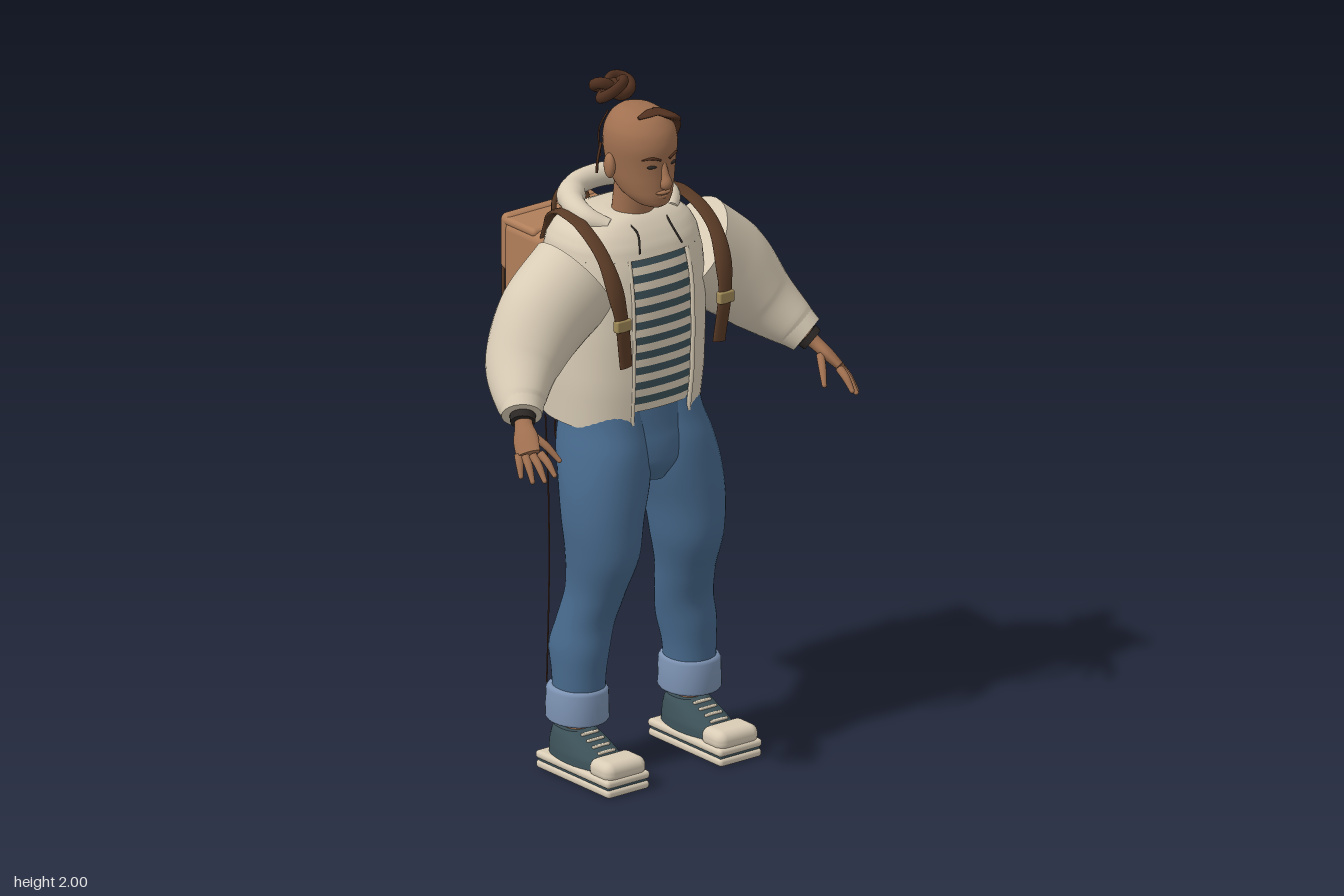
import * as THREE from 'three';
import { RoundedBoxGeometry } from 'three/addons/geometries/RoundedBoxGeometry.js';

const V = (x, y, z) => new THREE.Vector3(x, y, z);
const mat = (name, color, side = THREE.FrontSide) => {
  const m = new THREE.MeshStandardMaterial({ color, side });
  m.name = name;
  return m;
};

// Skin over a list of rings of points, optionally closed round and capped
function loft(rings, closed = true, caps = true) {
  const n = rings[0].length, pos = [], idx = [];
  rings.forEach(r => r.forEach(p => pos.push(p.x, p.y, p.z)));
  for (let i = 0; i < rings.length - 1; i++) {
    for (let j = 0; j < (closed ? n : n - 1); j++) {
      const a = i * n + j, c = i * n + (j + 1) % n;
      idx.push(a, a + n, c, c, a + n, c + n);
    }
  }
  if (caps) [rings[0], rings[rings.length - 1]].forEach((r, end) => {
    const base = pos.length / 3, mid = V(0, 0, 0);
    r.forEach(p => { pos.push(p.x, p.y, p.z); mid.addScaledVector(p, 1 / n); });
    pos.push(mid.x, mid.y, mid.z);
    for (let j = 0; j < n; j++) {
      const k = (j + 1) % n;
      idx.push(base + n, base + (end ? k : j), base + (end ? j : k));
    }
  });
  const g = new THREE.BufferGeometry();
  g.setAttribute('position', new THREE.Float32BufferAttribute(pos, 3));
  g.setIndex(idx);
  g.computeVertexNormals();
  return g;
}

const pw = (v, e) => Math.sign(v) * Math.abs(v) ** e;
// Horizontal ring; the front is at angle PI / 2
const flatRing = (y, cx, cz, rx, rz, e = 1, a0 = 0, a1 = Math.PI * 2, n = 36) => {
  const full = a1 - a0 > 6.28, out = [];
  for (let j = 0; j < (full ? n : n + 1); j++) {
    const a = a0 + (a1 - a0) * j / n;
    out.push(V(cx + rx * pw(Math.cos(a), e), y, cz + rz * pw(Math.sin(a), e)));
  }
  return out;
};
const smooth = pts => new THREE.CatmullRomCurve3(pts);

// Stack of horizontal ellipses, rows of [y, cx, cz, rx, rz]
function stack(rows, e = 1, caps = true, steps = 32) {
  const c = smooth(rows.map(r => V(r[1], r[0], r[2]))), s = smooth(rows.map(r => V(r[3], 0, r[4])));
  const rings = [];
  for (let i = 0; i <= steps; i++) {
    const p = c.getPoint(i / steps), r = s.getPoint(i / steps);
    rings.push(flatRing(p.y, p.x, p.z, r.x, r.z, e));
  }
  return loft(rings, true, caps);
}

// Ellipse swept along a path, rows of [x, y, z, r across, r along w]
function sweep(rows, w = V(0, 0, 1), n = 20, steps = 24) {
  const c = smooth(rows.map(r => V(r[0], r[1], r[2]))), s = smooth(rows.map(r => V(r[3], r[4] ?? r[3], 0)));
  const rings = [];
  for (let i = 0; i <= steps; i++) {
    const t = i / steps, p = c.getPoint(t), r = s.getPoint(t), T = c.getTangent(t);
    const U = T.clone().cross(w).normalize(), W = U.clone().cross(T);
    rings.push(Array.from({ length: n }, (_, j) => {
      const a = j / n * Math.PI * 2;
      return p.clone().addScaledVector(U, r.x * Math.cos(a)).addScaledVector(W, r.y * Math.sin(a));
    }));
  }
  return loft(rings);
}
const wire = (pts, r, closed = false) =>
  new THREE.TubeGeometry(new THREE.CatmullRomCurve3(pts.map(p => V(...p)), closed), 32, r, 6, closed);

// Jacket outline by height: [y, half width, back z, front z]
const TORSO = [[1.03, .215, -.19, .19], [1.15, .225, -.192, .203], [1.3, .228, -.19, .208], [1.42, .228, -.187, .203],
  [1.5, .226, -.182, .19], [1.56, .216, -.165, .17], [1.595, .198, -.145, .15], [1.62, .165, -.115, .13], [1.635, .12, -.08, .115], [1.64, .07, -.02, .1]];
function torsoRing(y, inset = 0, a0, a1) {
  let i = 0;
  while (i < TORSO.length - 2 && y > TORSO[i + 1][0]) i++;
  const A = TORSO[i], B = TORSO[i + 1], t = (y - A[0]) / (B[0] - A[0]);
  const [rx, zb, zf] = [1, 2, 3].map(k => A[k] + (B[k] - A[k]) * t);
  return flatRing(y, 0, (zb + zf) / 2, rx - inset, (zf - zb) / 2 - inset, .8, a0, a1, 48);
}
const range = (a, b, n) => Array.from({ length: n + 1 }, (_, i) => a + (b - a) * i / n);

export function createModel() {
  const root = new THREE.Group(), left = new THREE.Group();
  left.name = 'leftSide';
  const skin = mat('skin', 0xa07050), cream = mat('cream cloth', 0xd9ccb6, THREE.DoubleSide);
  const denim = mat('denim', 0x47698c), cuffBlue = mat('pale denim', 0x7d93b3, THREE.DoubleSide);
  const teal = mat('dark teal', 0x3c5158, THREE.DoubleSide), leather = mat('dark leather', 0x5a3b26);
  const tan = mat('tan leather', 0xb07e5a), brass = mat('brass', 0xa08a58);
  const hair = mat('hair', 0x50301f), black = mat('charcoal', 0x2c2826);
  const add = (parent, name, geo, m, x = 0, y = 0, z = 0) => {
    const o = new THREE.Mesh(geo, m);
    o.name = name;
    o.position.set(x, y, z);
    parent.add(o);
    return o;
  };
  const ball = (parent, name, m, p, s) => {
    const o = add(parent, name, new THREE.SphereGeometry(1, 20, 14), m, ...p);
    o.scale.set(...s);
    return o;
  };
  const box = (parent, name, m, p, s, r = .01) => add(parent, name, new RoundedBoxGeometry(...s, 3, r), m, ...p);

  // Head and neck
  add(root, 'head', stack([[1.672, 0, .15, .02, .025], [1.682, 0, .14, .045, .05], [1.71, 0, .115, .07, .08], [1.75, 0, .095, .085, .1],
    [1.8, 0, .086, .094, .11], [1.85, 0, .086, .1, .114], [1.89, 0, .084, .096, .106], [1.925, 0, .078, .075, .082],
    [1.946, 0, .07, .042, .046], [1.951, 0, .07, .008, .008]]), skin);
  add(root, 'neck', stack([[1.58, 0, .045, .075, .07], [1.64, 0, .055, .062, .058], [1.74, 0, .07, .062, .06]]), skin);
  add(root, 'nose', sweep([[0, 1.81, .188, .008], [0, 1.775, .2, .011], [0, 1.75, .204, .017], [0, 1.74, .192, .012]]), skin);
  ball(root, 'upperLip', skin, [0, 1.722, .19], [.026, .007, .012]);
  ball(root, 'lowerLip', skin, [0, 1.709, .185], [.022, .008, .012]);
  ball(left, 'ear', skin, [.1, 1.79, .075], [.015, .037, .025]).rotation.y = .3;
  ball(left, 'eye', black, [.037, 1.802, .186], [.015, .005, .005]).rotation.y = .3;
  add(left, 'eyebrow', sweep([[.015, 1.822, .199, .003], [.04, 1.83, .191, .004], [.064, 1.824, .173, .002]], V(0, 1, 0), 8), hair);

  // Hair: knotted bun, swept lock and loose strands
  const bun = add(root, 'bun', new THREE.TorusKnotGeometry(.041, .017, 90, 10, 2, 3), hair, .005, 1.964, -.045);
  bun.rotation.x = Math.PI / 2;
  bun.scale.set(1, .68, 1);
  ball(root, 'bunCore', hair, [.005, 1.964, -.045], [.04, .024, .028]);
  add(root, 'sweptLock', sweep([[-.045, 1.935, .135, .004, .006], [.01, 1.945, .145, .007, .022], [.07, 1.912, .148, .007, .022],
    [.1, 1.84, .115, .004, .006]], V(-.3, .1, -.9)), hair);
  for (const x of range(-.075, .075, 6)) {
    const k = 1 - Math.abs(x) * 6;
    add(root, 'napeStrand', wire([[x * .7, 1.925, .02 - k * .02], [x, 1.87, .03 - k * .06], [x, 1.79, .035 - k * .06]], .0028), hair);
  }
  add(left, 'templeStrand', wire([[.118, 1.86, .06], [.133, 1.82, .065], [.13, 1.77, .055]], .004), hair);

  // Striped shirt
  range(1.08, 1.53, 20).slice(0, 20).forEach((y, i) =>
    add(root, 'shirtStripe', loft([torsoRing(y, .012), torsoRing(y + .0225, .012)], true, false), i % 2 ? teal : cream));

  // Jacket with an open front, yoke and rolled hood
  const gap = .4;
  add(root, 'jacketBody', loft(range(1.03, 1.53, 16).map(y => torsoRing(y, 0, Math.PI / 2 + gap, Math.PI * 2.5 - gap)), false, false), cream);
  add(root, 'jacketYoke', loft([...range(1.53, 1.62, 9), 1.635, 1.64].map(y => torsoRing(y)), true, true), cream);
  add(left, 'jacketEdge', wire(range(1.035, 1.53, 8).map(y => torsoRing(y, .004, Math.PI / 2 - gap, Math.PI / 2)[0].toArray()), .007), cream);
  add(root, 'hood', sweep([[.11, 1.615, .085, .02], [.148, 1.635, .03, .03], [.135, 1.655, -.05, .034], [.08, 1.672, -.105, .034], [0, 1.678, -.118, .034],
    [-.08, 1.672, -.105, .034], [-.135, 1.655, -.05, .034], [-.148, 1.635, .03, .03], [-.11, 1.615, .085, .02]], V(0, 1, 0), 20, 48), cream);
  add(left, 'drawstring', wire([[.07, 1.63, .1], [.06, 1.6, .15], [.075, 1.55, .181]], .003), black);

  // Sleeve, wristband and hand
  add(left, 'sleeve', sweep([[.205, 1.475, .055, .15, .125], [.325, 1.385, .06, .14, .122], [.42, 1.28, .09, .105, .11], [.485, 1.205, .16, .07, .075],
    [.505, 1.18, .19, .055, .055]], V(0, 0, 1), 32, 32), cream);
  add(left, 'sleeveCuff', sweep([[.488, 1.2, .168, .066], [.507, 1.176, .194, .057]], V(0, 0, 1), 28, 4), cream);
  const across = V(-.06, .02, .1).normalize();
  add(left, 'wristband', sweep([[.506, 1.176, .197, .037], [.516, 1.163, .21, .035]], across, 20, 3), black);
  add(left, 'palm', sweep([[.49, 1.195, .18, .026, .027], [.518, 1.158, .216, .02, .026], [.537, 1.128, .25, .018, .037], [.555, 1.098, .283, .013, .036]], across), skin);
  const fingers = [[[.533, 1.103, .31], [.53, 1.055, .37]], [[.548, 1.097, .295], [.555, 1.04, .357]],
    [[.561, 1.092, .278], [.577, 1.035, .33]], [[.57, 1.092, .258], [.589, 1.042, .293]], [[.51, 1.132, .253], [.472, 1.07, .318]]];
  for (const [a, b] of fingers) {
    const m = a.map((v, k) => (v + b[k]) / 2);
    m[1] += .006;
    add(left, 'finger', sweep([[...a, .012], [...m, .011], [...b, .007]], across, 10, 10), skin);
    ball(left, 'fingertip', skin, b, [.007, .007, .007]);
  }

  // Jeans: hips, legs, turned-up cuffs and stitching
  add(root, 'hips', stack([[.86, 0, .085, .05, .09], [.92, 0, .075, .14, .125], [1.0, 0, .055, .185, .135], [1.09, 0, .05, .185, .128]]), denim);
  add(left, 'trouserLeg', stack([[.22, .197, .06, .07, .075], [.3, .196, .058, .073, .08], [.38, .189, .053, .08, .092], [.45, .175, .062, .08, .085],
    [.54, .16, .086, .08, .09], [.65, .15, .105, .097, .112], [.76, .145, .1, .112, .12], [.87, .126, .083, .125, .132],
    [.96, .112, .06, .119, .145], [1.03, .1, .045, .109, .14], [1.1, .095, .045, .1, .125]], .95, true, 44), denim);
  const cuff = [[.2, .06, .065], [.165, .072, .08], [.16, .08, .087], [.168, .085, .092], [.21, .084, .091], [.25, .083, .09], [.26, .077, .084], [.262, .066, .072]];
  add(left, 'trouserCuff', loft(cuff.map(([y, rx, rz]) => flatRing(y, .2, .056, rx, rz, .92)), true, false), cuffBlue);
  add(left, 'sideSeam', wire([[.277, 1.07, .01], [.268, .85, .012], [.262, .6, .008], [.268, .4, .01], [.272, .27, .01]], .0022), hair);
  add(left, 'pocketStitch', wire([[.05, 1.0, -.108], [.15, 1.0, -.1], [.155, .92, -.085], [.1, .88, -.085], [.045, .92, -.09]], .0025, true), hair);

  // Shoes
  add(left, 'ankle', stack([[.1, .2, .05, .04, .045], [.15, .2, .05, .033, .038], [.24, .2, .055, .042, .048]]), skin);
  box(left, 'outsole', cream, [.2, .0125, .125], [.15, .025, .33], .011);
  box(left, 'soleLine', teal, [.2, .026, .125], [.14, .01, .318], .004);
  box(left, 'midsole', cream, [.2, .041, .125], [.154, .024, .33], .011);
  box(left, 'toeCap', cream, [.2, .067, .237], [.145, .06, .1], .027);
  add(left, 'shoeUpper', stack([[.045, .2, .1, .072, .138], [.075, .2, .094, .07, .13], [.1, .2, .075, .064, .108], [.125, .2, .05, .056, .073], [.136, .2, .044, .05, .06]], .85), teal);
  range(0, 1, 3).forEach(t => box(left, 'lace', cream, [.2, .131 - t * .034, .113 + t * .075], [.06, .008, .01], .003));

  // Backpack
  const pack = new THREE.Group();
  pack.name = 'backpack';
  root.add(pack);
  box(pack, 'packBody', tan, [0, 1.325, -.235], [.33, .4, .19], .03);
  box(pack, 'packBase', leather, [0, 1.132, -.238], [.338, .055, .198], .022);
  box(pack, 'packFlap', tan, [0, 1.455, -.325], [.325, .17, .042], .02);
  box(pack, 'flapTop', tan, [0, 1.52, -.26], [.325, .025, .15], .012);
  box(pack, 'packPocket', tan, [0, 1.24, -.338], [.23, .14, .05], .022);
  box(pack, 'pocketFlap', tan, [0, 1.297, -.345], [.24, .045, .045], .014);
  add(pack, 'handle', wire([[-.06, 1.525, -.222], [-.056, 1.585, -.228], [-.03, 1.612, -.232], [.03, 1.612, -.232], [.056, 1.585, -.228], [.06, 1.525, -.222]], .008), leather);
  for (const s of [-1, 1]) {
    box(pack, 'closureStrap', leather, [s * .09, 1.375, -.362], [.024, .13, .014], .005);
    box(pack, 'closureBuckle', brass, [s * .09, 1.35, -.37], [.034, .034, .012], .004);
    add(pack, 'packPiping', wire([[s * .15, 1.5, -.333], [s * .158, 1.35, -.328], [s * .155, 1.16, -.328]], .005), leather);
  }

  // Shoulder straps
  add(left, 'shoulderStrap', sweep([[.135, 1.5, -.17, .008, .022], [.145, 1.59, -.13, .008, .022], [.18, 1.64, -.02, .008, .023], [.195, 1.625, .08, .008, .023],
    [.198, 1.56, .175, .009, .023], [.187, 1.42, .232, .009, .023], [.165, 1.25, .232, .008, .022]], V(1, 0, 0), 16, 40), leather);
  box(left, 'strapBuckle', brass, [.183, 1.38, .238], [.052, .035, .022], .005);

  // Mirror the left side to make the right
  const right = left.clone();
  right.name = 'rightSide';
  right.scale.x = -1;
  root.add(left, right);
  return root;
}
